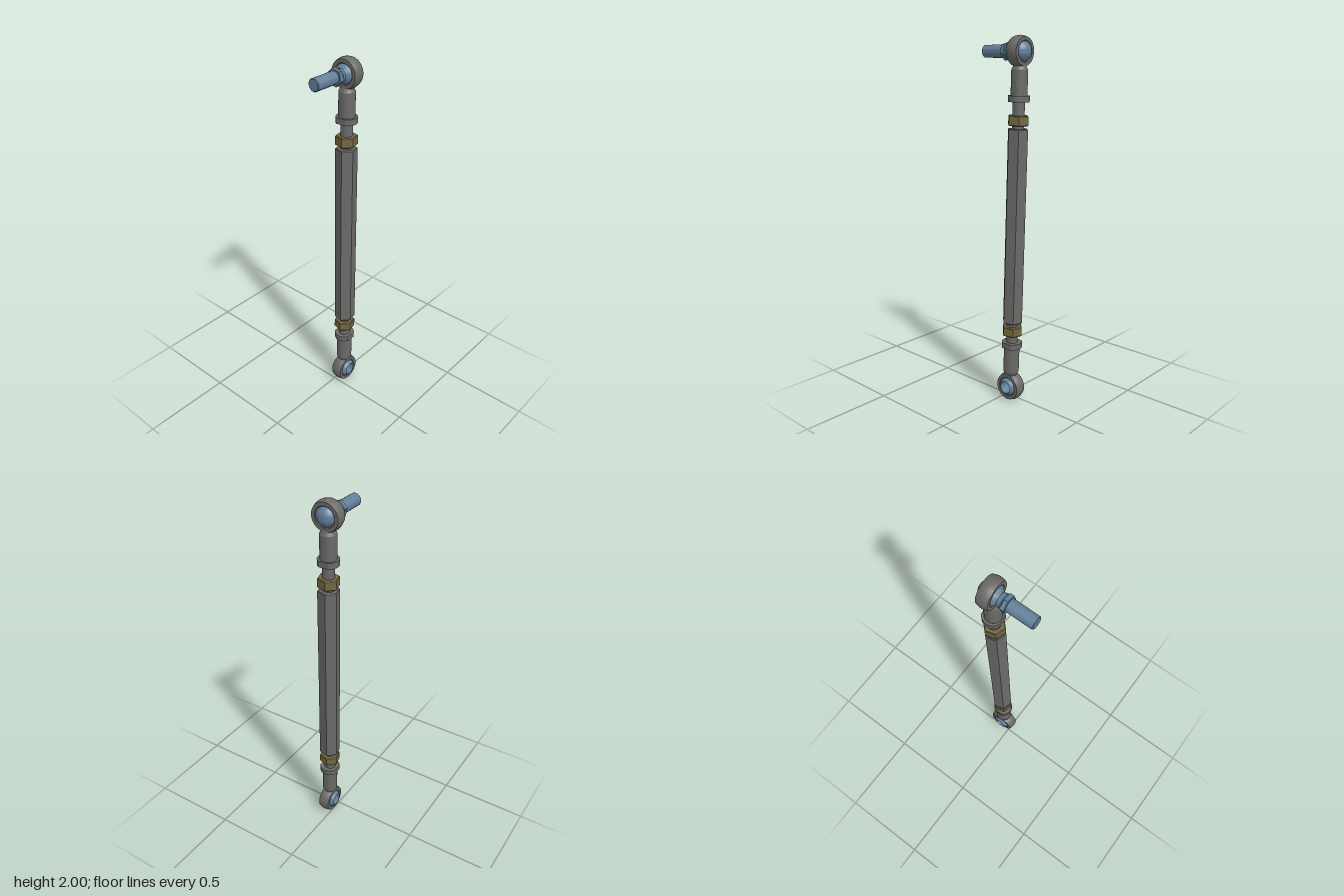
import * as THREE from 'three';
import { toCreasedNormals } from 'three/addons/utils/BufferGeometryUtils.js';

const steel = new THREE.MeshStandardMaterial({ color: 0x6a6a69 });
steel.name = 'darkSteel';
const blue = new THREE.MeshStandardMaterial({ color: 0x64809a });
blue.name = 'blueSteel';
const brass = new THREE.MeshStandardMaterial({ color: 0x75683f });
brass.name = 'brass';

const BALL = 0.058, EYE = 0.08;
const HEX_TURN = -Math.PI / 12;

function part(name, geometry, material) {
  const mesh = new THREE.Mesh(toCreasedNormals(geometry, 0.45), material);
  mesh.name = name;
  return mesh;
}

// Turned solid: [radius, height] pairs, running upward on the outside
function turned(points, sides = 40, start = 0) {
  return new THREE.LatheGeometry(points.map(([r, y]) => new THREE.Vector2(r, y)), sides, start);
}

// Hexagonal prism with bevelled ends
function hexBar(y0, y1, r, bevel) {
  return turned([[0, y0], [r - bevel, y0], [r, y0 + bevel], [r, y1 - bevel], [r - bevel, y1], [0, y1]], 6, HEX_TURN);
}

// Points along the ball's outline between two heights
function ballArc(y0, y1, steps = 18) {
  const a0 = Math.asin(y0 / BALL), a1 = Math.asin(y1 / BALL);
  return Array.from({ length: steps + 1 }, (_, i) => {
    const a = a0 + (a1 - a0) * i / steps;
    return [Math.max(0, BALL * Math.cos(a)), BALL * Math.sin(a)];
  });
}

// Eye, shank and collar; the eye is at the origin, faces z, and the shank runs up y
function rodEnd(name, collarAt, studEnd) {
  const group = new THREE.Group();
  group.name = name;

  const eye = turned([
    [0.049, -0.027], [0.055, -0.032], [0.073, -0.032], [0.0775, -0.018], [EYE, 0],
    [0.0775, 0.018], [0.073, 0.032], [0.055, 0.032], [0.049, 0.027], [0.049, -0.027],
  ], 48).rotateX(Math.PI / 2);
  group.add(part('eyeHousing', eye, steel));

  group.add(part('shank', turned([
    [0, 0.058], [0.031, 0.058], [0.034, 0.075], [0.043, 0.09], [0.0435, collarAt + 0.01], [0, collarAt + 0.01],
  ]), steel));

  // Round collar with two wrench flats
  const r = 0.056, a = Math.asin(0.049 / r);
  const outline = new THREE.Shape();
  outline.absarc(0, 0, r, -a, a, false);
  outline.absarc(0, 0, r, Math.PI - a, Math.PI + a, false);
  outline.closePath();
  const collar = new THREE.ExtrudeGeometry(outline, { depth: 0.032, bevelEnabled: false, curveSegments: 14 });
  collar.rotateX(-Math.PI / 2).translate(0, collarAt, 0);
  group.add(part('wrenchCollar', collar, steel));

  const y0 = collarAt + 0.02;
  group.add(part('threadedStud', turned([[0, y0], [0.032, y0], [0.032, studEnd], [0, studEnd]]), steel));
  return group;
}

export function createModel() {
  const model = new THREE.Group();
  model.name = 'adjustableLinkRod';

  const bottom = new THREE.Vector3(0.055, 0.081, 0.028);
  const top = new THREE.Vector3(0.092, 1.92, 0);
  const axis = top.clone().sub(bottom);
  const length = axis.length();

  // Everything on the slightly leaning rod axis
  const rod = new THREE.Group();
  rod.name = 'rod';
  rod.position.copy(bottom);
  rod.quaternion.setFromUnitVectors(new THREE.Vector3(0, 1, 0), axis.normalize());
  model.add(rod);

  rod.add(part('hexTube', hexBar(0.382, 1.449, 0.058, 0.004), steel));
  rod.add(part('lowerLockNut', hexBar(0.309, 0.36, 0.058, 0.004), brass));
  rod.add(part('upperLockNut', hexBar(1.465, 1.518, 0.058, 0.004), brass));

  const lowerEnd = rodEnd('lowerRodEnd', 0.234, 0.4);
  rod.add(lowerEnd);

  const upperEnd = rodEnd('upperRodEnd', 0.221, 0.49);
  upperEnd.position.y = length;
  upperEnd.rotation.set(Math.PI, Math.PI / 2 - 0.04, 0);
  rod.add(upperEnd);

  // Bored ball in the lower eye
  const bore = 0.034, cut = Math.sqrt(BALL * BALL - bore * bore);
  const boredBall = turned([...ballArc(-cut, cut), [bore, -cut]]).rotateX(Math.PI / 2);
  lowerEnd.add(part('boredBall', boredBall, blue));

  // Ball stud through the upper eye, pointing to -x
  const stud = new THREE.Group();
  stud.name = 'ballStud';
  stud.position.copy(top);
  stud.rotation.z = Math.PI / 2;
  stud.add(part('ballAndNeck', turned([
    ...ballArc(-BALL, 0.046), [0.033, 0.05], [0.038, 0.068], [0.038, 0.071], [0.033, 0.074], [0.033, 0.08], [0, 0.08],
  ]), blue));
  stud.add(part('studHex', hexBar(0.076, 0.1, 0.047, 0.002), blue));
  stud.add(part('studShaft', turned([
    [0, 0.095], [0.033, 0.095], [0.033, 0.238], [0.029, 0.242], [0, 0.242],
  ]), blue));
  model.add(stud);

  return model;
}
